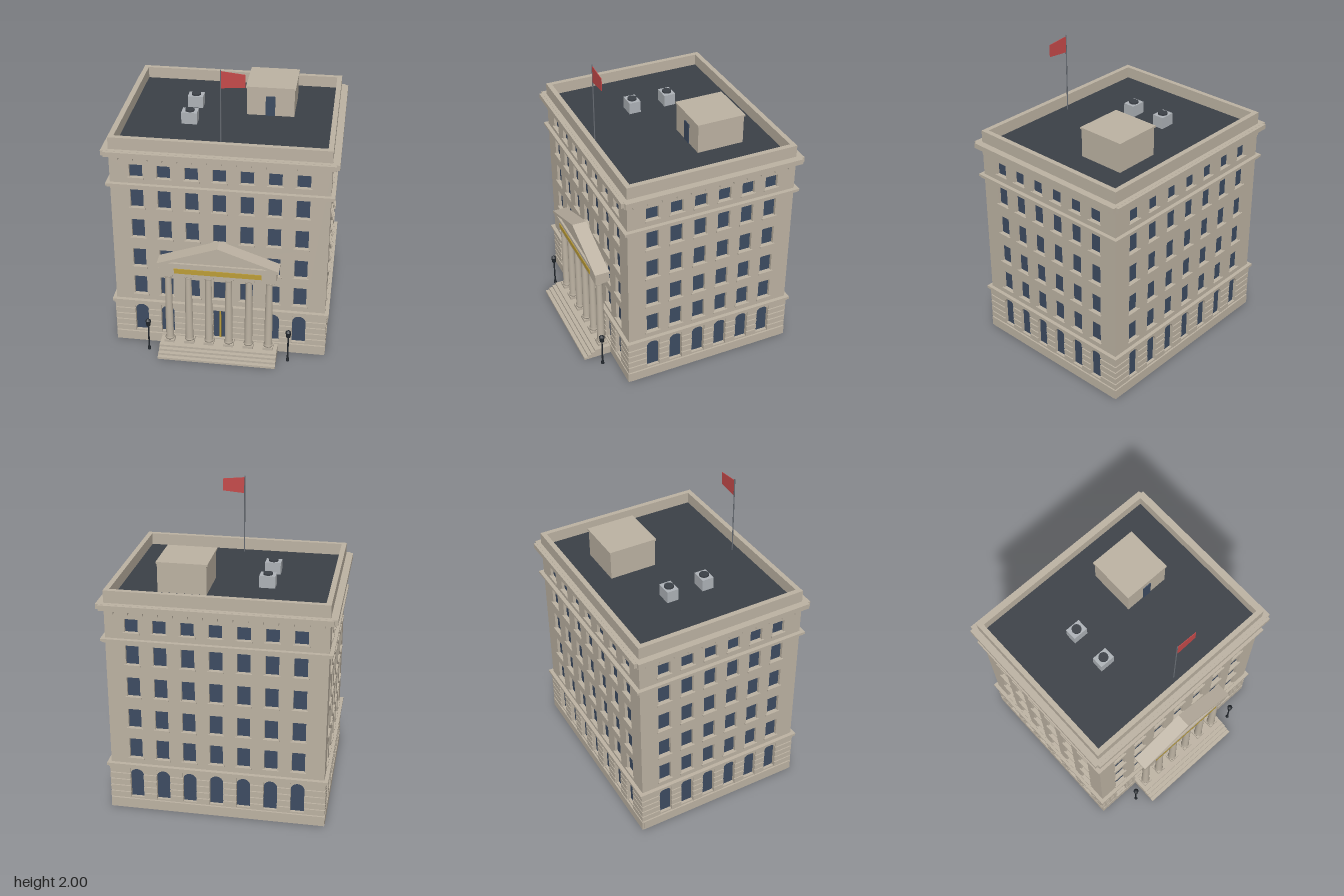
import * as THREE from 'three';

const mat = (name, color) => Object.assign(new THREE.MeshStandardMaterial({ color }), { name });

export function createModel() {
  const stone = mat('limestone', 0xbdb3a3);
  const glass = mat('blue glass', 0x3d4c62);
  const roofing = mat('dark roofing', 0x3b4047);
  const gold = mat('gold', 0xbd9e38);
  const iron = mat('black iron', 0x23282e);
  const metal = mat('grey metal', 0xaeb3b8);
  const red = mat('flag red', 0xc64a4a);
  const steel = mat('pole steel', 0x6a6f76);

  const model = new THREE.Group();
  model.name = 'building';
  const HW = 0.7, HD = 0.575, ZC = -0.08; // body half width, half depth and centre
  const FRONT = ZC + HD;

  const add = (parent, name, geo, material, x = 0, y = 0, z = 0) => {
    const m = new THREE.Mesh(geo, material);
    m.name = name;
    m.position.set(x, y, z);
    parent.add(m);
    return m;
  };
  // box given by its x, y and z ranges
  const box = (parent, name, material, x0, x1, y0, y1, z0, z1) =>
    add(parent, name, new THREE.BoxGeometry(x1 - x0, y1 - y0, z1 - z0), material,
      (x0 + x1) / 2, (y0 + y1) / 2, (z0 + z1) / 2);
  // moulding projecting by p around the body
  const band = (name, y0, y1, p) =>
    box(model, name, stone, -HW - p, HW + p, y0, y1, ZC - HD - p, ZC + HD + p);

  // glazed core seen through the wall openings
  box(model, 'windowGlass', glass, -HW + 0.02, HW - 0.02, 0.03, 1.44, ZC - HD + 0.02, ZC + HD - 0.02);
  box(model, 'foundation', stone, -HW, HW, 0, 0.03, ZC - HD, ZC + HD);

  // one wall with openings, sills, stone courses and dentils; outer face at local z = 0
  const rows = [[0.38, 0.52], [0.6, 0.735], [0.825, 0.96], [1.05, 1.18], [1.27, 1.36]];
  const opening = (x, w, y0, y1, arched) => {
    const p = new THREE.Path();
    const r = w / 2;
    p.moveTo(x - r, y0);
    p.lineTo(x + r, y0);
    if (arched) {
      p.lineTo(x + r, y1 - r);
      p.absarc(x, y1 - r, r, 0, Math.PI, false);
    } else {
      p.lineTo(x + r, y1);
      p.lineTo(x - r, y1);
    }
    p.lineTo(x - r, y0);
    return p;
  };

  function facade(name, half, count, spacing, angle, extend, isFront) {
    const g = new THREE.Group();
    g.name = name;
    const xs = Array.from({ length: count }, (_, i) => (i - (count - 1) / 2) * spacing);
    const s = new THREE.Shape();
    s.moveTo(-half, 0.03);
    s.lineTo(half, 0.03);
    s.lineTo(half, 1.45);
    s.lineTo(-half, 1.45);
    s.closePath();
    const gaps = [];
    for (const x of xs) {
      for (const [y0, y1] of rows) {
        s.holes.push(opening(x, 0.085, y0, y1, false));
        box(g, 'windowSill', stone, x - 0.052, x + 0.052, y0 - 0.012, y0, -0.018, 0.01);
      }
      if (isFront && Math.abs(x) < 0.01) {
        s.holes.push(opening(x, 0.09, 0.06, 0.3, false));
        gaps.push(x);
      } else if (!isFront || Math.abs(x) > 0.3) {
        s.holes.push(opening(x, 0.09, 0.08, 0.292, true));
        gaps.push(x);
      }
    }
    const wall = new THREE.ExtrudeGeometry(s, { depth: 0.02, bevelEnabled: false, curveSegments: 10 });
    add(g, 'wall', wall, stone, 0, 0, -0.02);

    // rusticated courses, broken at the ground floor openings
    const end = half + extend;
    const edges = [-end, ...gaps.flatMap((x) => [x - 0.045, x + 0.045]), end];
    for (let i = 0; i < 5; i++) {
      const y = 0.077 + i * 0.047;
      for (let k = 0; k < edges.length; k += 2)
        box(g, 'stoneCourse', stone, edges[k], edges[k + 1], y, y + 0.038, 0, 0.01);
    }
    box(g, 'plinth', stone, -end, end, 0, 0.068, 0, 0.012);

    // dentils under the cornice
    const n = Math.round((half * 2) / 0.095);
    for (let i = 0; i < n; i++) {
      const x = -half + ((i + 0.5) * 2 * half) / n;
      box(g, 'dentil', stone, x - 0.018, x + 0.018, 1.396, 1.42, 0, 0.028);
    }
    const dist = extend ? HD : HW;
    g.position.set(Math.sin(angle) * dist, 0, ZC + Math.cos(angle) * dist);
    g.rotation.y = angle;
    model.add(g);
  }
  facade('frontWall', HW, 7, 0.1767, 0, 0.01, true);
  facade('backWall', HW, 7, 0.1767, Math.PI, 0.01, false);
  facade('leftWall', HD, 6, 0.163, Math.PI / 2, 0, false);
  facade('rightWall', HD, 6, 0.163, -Math.PI / 2, 0, false);

  // string courses and cornice
  band('baseMoulding', 0.306, 0.318, 0.016);
  band('baseBand', 0.318, 0.336, 0.025);
  band('upperBandLower', 1.2, 1.21, 0.018);
  band('upperBand', 1.21, 1.226, 0.026);
  band('corniceBed', 1.415, 1.428, 0.028);
  box(model, 'corniceLong', stone, -HW - 0.045, HW + 0.045, 1.424, 1.459, ZC - HD - 0.025, ZC + HD + 0.025);
  box(model, 'corniceDeep', stone, -HW - 0.025, HW + 0.025, 1.425, 1.458, ZC - HD - 0.045, ZC + HD + 0.045);

  // parapet and roof
  const T = 0.033;
  for (const s of [-1, 1]) {
    add(model, 'parapet', new THREE.BoxGeometry(2 * HW, 0.09, T), stone, 0, 1.495, ZC + s * (HD - T / 2));
    add(model, 'parapet', new THREE.BoxGeometry(T, 0.09, 2 * (HD - T)), stone, s * (HW - T / 2), 1.495, ZC);
  }
  box(model, 'roof', roofing, -HW + T, HW - T, 1.44, 1.462, ZC - HD + T, ZC + HD - T);

  // stair house on the roof
  box(model, 'roofHouse', stone, 0.098, 0.412, 1.46, 1.652, -0.43, -0.112);
  box(model, 'roofHouseCap', stone, 0.09, 0.418, 1.652, 1.664, -0.436, -0.106);
  box(model, 'roofHouseDoor', glass, 0.222, 0.285, 1.462, 1.6, -0.113, -0.107);

  // cooling units
  for (const z of [-0.206, 0.047]) {
    box(model, 'coolingUnit', metal, -0.308, -0.205, 1.46, 1.542, z - 0.04, z + 0.04);
    add(model, 'coolingFan', new THREE.CylinderGeometry(0.031, 0.031, 0.012, 20), roofing, -0.256, 1.547, z);
  }

  // flagpole and flag
  add(model, 'flagpole', new THREE.CylinderGeometry(0.004, 0.004, 0.54, 8), steel, 0, 1.73, 0.417);
  const flag = new THREE.Shape([[0.004, 1.88], [0.15, 1.892], [0.15, 1.975], [0.004, 1.99]]
    .map(([x, y]) => new THREE.Vector2(x, y)));
  add(model, 'flag', new THREE.ExtrudeGeometry(flag, { depth: 0.004, bevelEnabled: false }), red, 0, 0, 0.415);

  // entrance doors
  box(model, 'doorDivider', gold, -0.006, 0.006, 0.06, 0.28, FRONT - 0.02, FRONT - 0.011);
  box(model, 'doorLintel', stone, -0.055, 0.055, 0.298, 0.31, FRONT, FRONT + 0.016);

  // portico: steps, columns, entablature and pediment
  const portico = new THREE.Group();
  portico.name = 'portico';
  model.add(portico);
  for (let i = 0; i < 4; i++)
    box(portico, 'step', stone, -0.394, 0.394, i * 0.015, (i + 1) * 0.015, FRONT, 0.697 - i * 0.026);

  const profile = [[0, 0.08], [0.031, 0.08], [0.031, 0.09], [0.026, 0.097], [0.026, 0.25],
    [0.021, 0.575], [0.025, 0.58], [0.025, 0.586], [0.022, 0.588], [0.034, 0.603], [0, 0.603]]
    .map(([r, y]) => new THREE.Vector2(r, y));
  for (let i = 0; i < 6; i++) {
    const x = (i - 2.5) * 0.1333;
    box(portico, 'columnBase', stone, x - 0.034, x + 0.034, 0.06, 0.08, 0.516, 0.584);
    add(portico, 'column', new THREE.LatheGeometry(profile, 20), stone, x, 0, 0.55);
    box(portico, 'columnCapital', stone, x - 0.038, x + 0.038, 0.6, 0.616, 0.512, 0.588);
  }
  box(portico, 'entablature', stone, -0.382, 0.382, 0.615, 0.685, FRONT, 0.592);
  box(portico, 'entablatureCap', stone, -0.397, 0.397, 0.685, 0.702, FRONT, 0.6);
  box(portico, 'goldPanel', gold, -0.285, 0.285, 0.632, 0.667, 0.592, 0.597);

  const triangle = (w, y0, y1) => [[-w, y0], [w, y0], [0, y1]].map(([x, y]) => new THREE.Vector2(x, y));
  const rim = new THREE.Shape(triangle(0.397, 0.702, 0.843));
  rim.holes.push(new THREE.Path(triangle(0.32, 0.709, 0.822)));
  add(portico, 'pedimentRim', new THREE.ExtrudeGeometry(rim, { depth: 0.1, bevelEnabled: false }),
    stone, 0, 0, 0.5);
  add(portico, 'pedimentPanel', new THREE.ExtrudeGeometry(new THREE.Shape(triangle(0.34, 0.704, 0.825)),
    { depth: 0.085, bevelEnabled: false }), stone, 0, 0, 0.5);

  // street lamps
  for (const x of [-0.47, 0.47]) {
    const lamp = new THREE.Group();
    lamp.name = 'streetLamp';
    lamp.position.set(x, 0, 0.596);
    model.add(lamp);
    add(lamp, 'lampBase', new THREE.CylinderGeometry(0.008, 0.012, 0.025, 10), iron, 0, 0.0125, 0);
    add(lamp, 'lampPost', new THREE.CylinderGeometry(0.005, 0.006, 0.18, 8), iron, 0, 0.11, 0);
    add(lamp, 'lampHead', new THREE.CylinderGeometry(0.019, 0.014, 0.04, 8), iron, 0, 0.215, 0);
    add(lamp, 'lampCap', new THREE.CylinderGeometry(0.004, 0.019, 0.014, 8), iron, 0, 0.242, 0);
  }
  return model;
}
